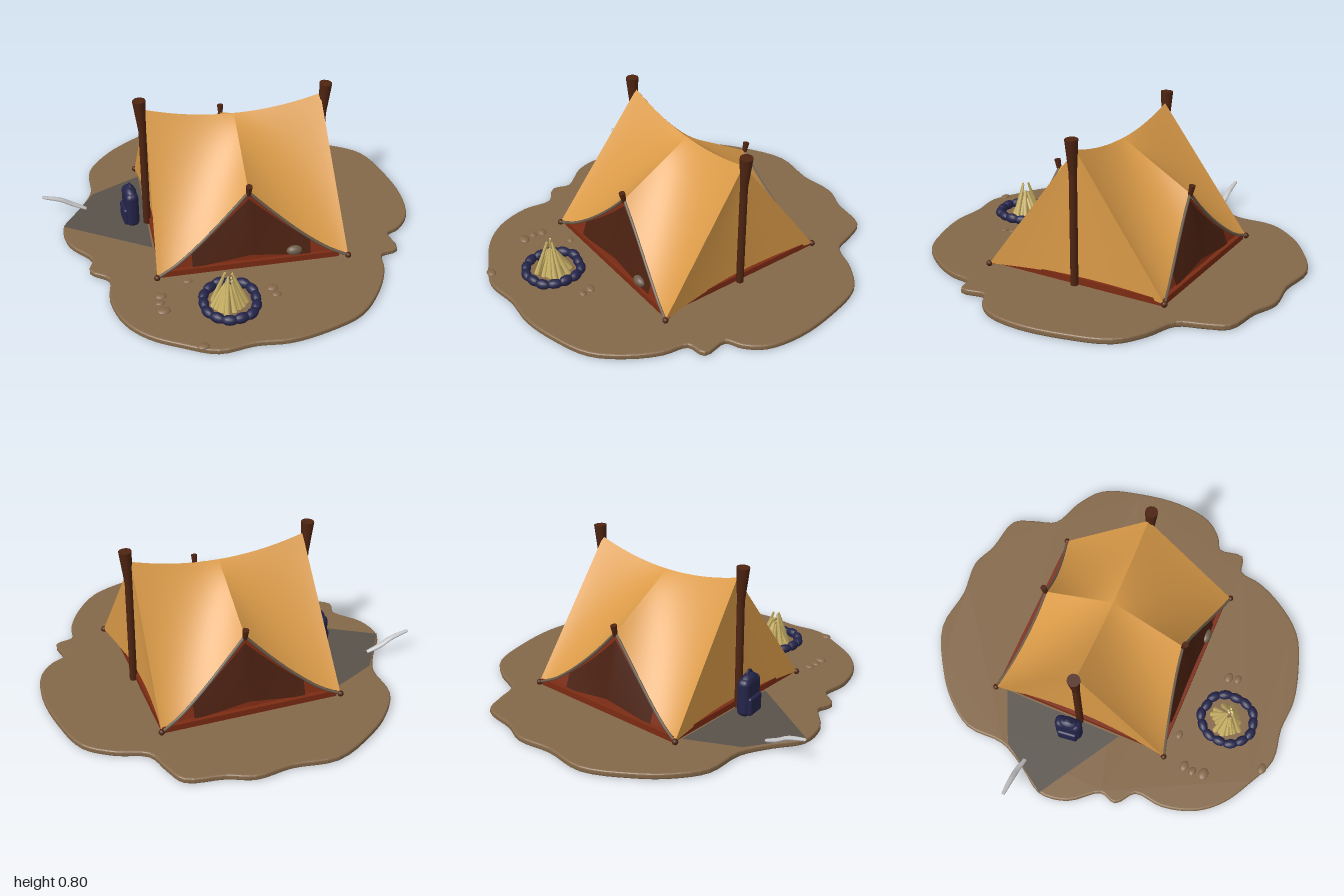
import * as THREE from 'three';
import { RoundedBoxGeometry } from 'three/addons/geometries/RoundedBoxGeometry.js';

const mat = (name, color, side = THREE.FrontSide) => {
  const m = new THREE.MeshStandardMaterial({ color, side });
  m.name = name;
  return m;
};

// Surface from a rule f(u, v) -> Vector3, with u and v from 0 to 1
function grid(nu, nv, f) {
  const pos = [], idx = [];
  for (let j = 0; j <= nv; j++)
    for (let i = 0; i <= nu; i++) pos.push(...f(i / nu, j / nv).toArray());
  for (let j = 0; j < nv; j++)
    for (let i = 0; i < nu; i++) {
      const a = j * (nu + 1) + i, b = a + nu + 1;
      idx.push(a, b, a + 1, a + 1, b, b + 1);
    }
  const g = new THREE.BufferGeometry();
  g.setAttribute('position', new THREE.Float32BufferAttribute(pos, 3));
  g.setIndex(idx);
  g.computeVertexNormals();
  return g;
}

export function createModel() {
  const root = new THREE.Group();
  const V = (x, y, z) => new THREE.Vector3(x, y, z);
  const sand = mat('sand', 0x846849);
  const earth = mat('dark earth', 0x58524a, THREE.DoubleSide);
  const canvas = mat('canvas', 0xdb9b48, THREE.DoubleSide);
  const wood = mat('dark wood', 0x4e2411);
  const red = mat('red cloth', 0x7c2b13, THREE.DoubleSide);
  const dark = mat('dark brown cloth', 0x4a2010, THREE.DoubleSide);
  const trim = mat('grey trim', 0x6c5c4a);
  const navy = mat('navy', 0x24244a);
  const straw = mat('straw', 0xcdb568);
  const steel = mat('pale grey', 0xc4c4c6);

  const add = (name, geo, material, x = 0, y = 0, z = 0, parent = root) => {
    const m = new THREE.Mesh(geo, material);
    m.name = name;
    m.position.set(x, y, z);
    parent.add(m);
    return m;
  };
  const stick = (name, a, b, r0, r1, material, sides = 8, parent = root) => {
    const d = b.clone().sub(a);
    const m = add(name, new THREE.CylinderGeometry(r1, r0, d.length(), sides), material, 0, 0, 0, parent);
    m.position.copy(a).addScaledVector(d, 0.5);
    m.quaternion.setFromUnitVectors(V(0, 1, 0), d.normalize());
    return m;
  };
  let seed = 7;
  const rnd = () => (seed = (seed * 16807) % 2147483647) / 2147483647;

  // Ground patch with a wavy outline, given as x, z
  const outline = [
    [-.25, -.99], [-.02, -.97], [.17, -.99], [.3, -.94], [.49, -.9], [.54, -.8], [.59, -.67], [.75, -.6],
    [.88, -.5], [.95, -.29], [.98, -.05], [.95, .13], [.88, .22], [.8, .27], [.81, .4], [.72, .43],
    [.69, .56], [.62, .7], [.49, .85], [.3, .93], [.11, .97], [-.06, .96], [-.24, .98], [-.4, .91],
    [-.55, .82], [-.65, .7], [-.7, .53], [-.69, .37], [-.78, .29], [-.76, .2], [-.87, .05], [-.89, -.1],
    [-.8, -.24], [-.72, -.4], [-.71, -.61], [-.61, -.76], [-.48, -.87],
  ].map(([x, z]) => V(x, -z, 0));
  const edge = new THREE.CatmullRomCurve3(outline, true).getPoints(148).slice(0, -1);
  const shape = new THREE.Shape(edge.map((p) => new THREE.Vector2(p.x, p.y)));
  const ground = new THREE.ExtrudeGeometry(shape, {
    depth: 0.012, bevelThickness: 0.01, bevelSize: 0.01, bevelSegments: 3,
  });
  add('ground', ground.rotateX(-Math.PI / 2), sand, 0, 0.012, 0);
  add('groundUnderside', new THREE.ShapeGeometry(shape).rotateX(Math.PI / 2).scale(1, 1, -1), earth, 0, 0.001, 0);

  // Dark wedge of bare earth beside the tent
  const wedge = new THREE.Shape([[-.9, .1], [-.8, .25], [-.72, .37], [-.45, .5], [-.45, -.17]]
    .map(([x, y]) => new THREE.Vector2(x, y)));
  add('bareEarth', new THREE.ShapeGeometry(wedge).rotateX(-Math.PI / 2), earth, 0, 0.036, 0);

  // Small mounds in the sand
  for (const [x, z, r] of [[-.46, .56, .03], [-.47, .61, .025], [-.46, .67, .035], [-.31, .47, .025],
    [.1, .6, .03], [.11, .65, .025], [-.31, .95, .03]])
    add('sandMound', new THREE.SphereGeometry(r, 14, 8).scale(1, 0.35, 0.75), sand, x, 0.034, z);

  // Tent: lower hem on one side, s from -1 to 1 (dir 1 is the front, -1 the back)
  const cx = 0.03, ridgeZ = -0.065;
  const hem = (s, dir) => {
    const a = Math.abs(s);
    return V(cx + s * (s < 0 ? 0.49 : dir > 0 ? 0.51 : 0.47), 0.05 + 0.39 * Math.pow(1 - a, 1.4),
      dir > 0 ? 0.33 + 0.108 * Math.pow(a, 1.3) : -0.455 - 0.108 * Math.pow(a, 1.3));
  };
  const ridge = (s) => V(cx + 0.46 * s, 0.67 + 0.07 * s * s, ridgeZ);
  const roof = (s, t, dir) => {
    const a = Math.abs(s), p = ridge(s).lerp(hem(s, dir), t);
    p.y -= 0.06 * Math.sin(Math.PI * t) * a * (1 - a);
    return p;
  };
  const tent = new THREE.Group();
  tent.name = 'tent';
  root.add(tent);

  add('tentFloor', new THREE.BoxGeometry(0.935, 0.035, 0.975), red, 0.0275, 0.05, -0.0675, tent);
  for (const dir of [1, -1]) {
    const end = dir > 0 ? 'front' : 'back';
    // Roof sheet, creased where it is pulled to the middle peg
    for (const side of [-1, 1])
      add(end + 'Roof', grid(24, 20, (u, v) => roof(side * u, v, dir)), canvas, 0, 0, 0, tent);

    // Inner end wall with a dark doorway
    const floorZ = dir > 0 ? 0.42 : -0.55;
    const wall = (s, t, out) => {
      const p = hem(s, dir);
      const q = V(p.x, 0.05, floorZ);
      p.lerp(q, t);
      p.z += dir * out;
      return p;
    };
    add(end + 'EndWall', grid(32, 6, (u, v) => wall(u * 2 - 1, v, -0.014)), red, 0, 0, 0, tent);
    add(end + 'Doorway', grid(24, 6, (u, v) => wall((u * 2 - 1) * 0.62, 0.1 + 0.78 * v, -0.008)), dark, 0, 0, 0, tent);

    // Piped hem, middle peg and corner pegs
    for (const side of [-1, 1]) {
      const pts = [0, 0.2, 0.4, 0.6, 0.8, 1].map((k) => hem(side * k, dir));
      add(end + 'HemPiping', new THREE.TubeGeometry(new THREE.CatmullRomCurve3(pts), 24, 0.008, 6), trim, 0, 0, 0, tent);
      const c = hem(side, dir);
      add('cornerPeg', new THREE.SphereGeometry(0.016, 10, 8), wood, c.x, 0.05, c.z, tent);
    }
    const top = hem(0, dir);
    stick('middlePeg', V(cx, 0.425, top.z), V(cx, 0.485, top.z + dir * 0.012), 0.012, 0.017, wood, 10, tent);
  }

  // Side walls and flared poles
  for (const side of [-1, 1]) {
    add('sideWall', grid(16, 20, (u, v) => {
      const p = roof(side, v, 1).lerp(roof(side, v, -1), u);
      const bow = Math.sin(Math.PI * u) * v;
      p.x -= side * 0.042 * bow;
      p.y += 0.015 * bow;
      return p;
    }), canvas, 0, 0, 0, tent);
    const px = side < 0 ? -0.45 : 0.505, z = -0.06;
    stick('pole', V(px, 0.03, z), V(px, 0.68, z), 0.02, 0.02, wood, 12, tent);
    stick('poleHead', V(px, 0.62, z), V(px + side * 0.01, 0.8, z), 0.02, 0.034, wood, 12, tent);
  }

  // Round bundle by the front door
  add('bundle', new THREE.SphereGeometry(0.032, 16, 12).scale(1.3, 0.85, 0.8), trim, 0.26, 0.093, 0.4);

  // Campfire: ring of stones around a tepee of kindling
  const fire = new THREE.Group();
  fire.name = 'campfire';
  fire.position.set(-0.13, 0.035, 0.68);
  root.add(fire);
  for (let i = 0; i < 14; i++) {
    const a = (i / 14) * Math.PI * 2, r = 0.128 + 0.012 * rnd();
    const stone = add('fireStone', new THREE.SphereGeometry(1, 12, 8).scale(0.026, 0.024 + 0.005 * rnd(), 0.043),
      navy, Math.cos(a) * r, 0.022, Math.sin(a) * r * 1.06, fire);
    stone.rotation.y = -a;
  }
  for (let i = 0; i < 18; i++) {
    const a = i * 2.4, r = 0.05 + 0.045 * rnd(), h = 0.1 + 0.1 * rnd();
    stick('kindling', V(Math.cos(a) * r - 0.01, 0, Math.sin(a) * r),
      V(Math.cos(a) * 0.018 - 0.01, h, Math.sin(a) * 0.018), 0.016, 0.006, straw, 6, fire);
  }

  // Backpack leaning by the side wall
  const pack = new THREE.Group();
  pack.name = 'backpack';
  pack.position.set(-0.532, 0.035, -0.085);
  pack.rotation.y = 0.12;
  root.add(pack);
  add('packBody', new RoundedBoxGeometry(0.07, 0.205, 0.145, 4, 0.03), navy, 0, 0.108, 0, pack);
  add('packPocket', new RoundedBoxGeometry(0.03, 0.1, 0.11, 3, 0.014), navy, -0.034, 0.065, 0, pack);
  add('packLid', new THREE.SphereGeometry(0.05, 16, 10).scale(0.7, 0.8, 1.2), navy, 0, 0.19, 0, pack);
  add('packHandle', new THREE.TorusGeometry(0.02, 0.008, 8, 14).rotateY(Math.PI / 2), navy, 0, 0.222, 0, pack);

  // Curved pale spike stuck in the ground, flattened and tapering to both ends
  const spine = new THREE.CatmullRomCurve3([V(-0.998, 0.133, -0.257), V(-0.9, 0.104, -0.256),
    V(-0.84, 0.07, -0.255), V(-0.765, 0.035, -0.245)]);
  add('spike', grid(14, 20, (u, v) => {
    const p = spine.getPoint(v), a = u * Math.PI * 2, r = 0.004 + 0.012 * Math.pow(Math.sin(Math.PI * (0.08 + v * 0.8)), 0.6);
    return p.add(V(0, Math.sin(a) * r * 0.8, -Math.cos(a) * r));
  }), steel).material.side = THREE.DoubleSide;

  return root;
}
